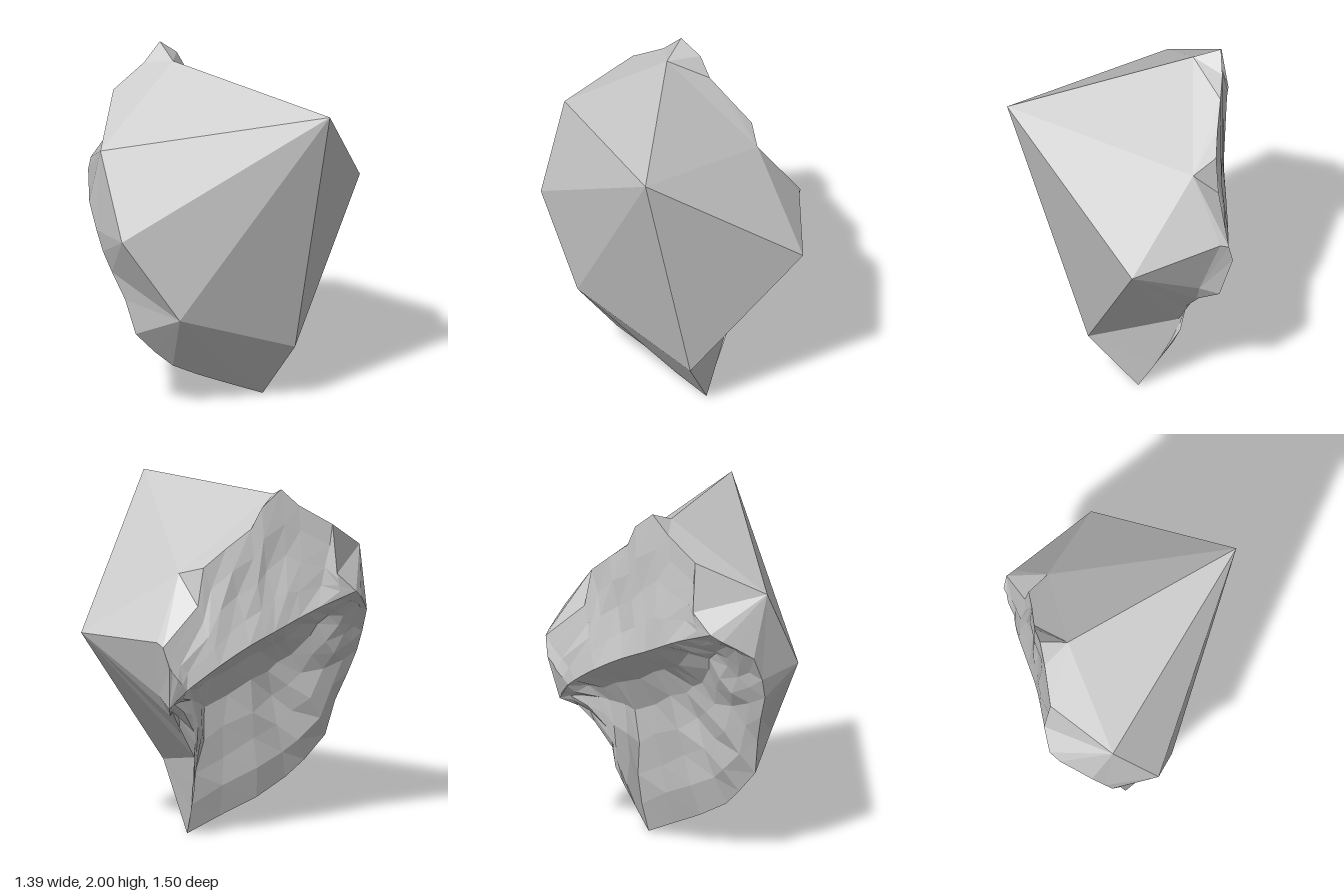
import * as THREE from 'three';

const V = (x, y, z) => new THREE.Vector3(x, y, z);
const CORE = V(-0.1, 1.1, 0); // interior point, used to turn faces outward

// Corners of the smooth cleaved side
const apex = V(0.69, 1.88, 0.06), brow = V(-0.44, 1.58, 0.65), chest = V(-0.21, 1.13, 0.75);
const knee = V(0.01, 0.65, 0.52), heel = V(0.29, 0.36, -0.135), foot = V(0.02, 0, -0.19);
const back = V(0.25, 1.17, -0.75), crown = V(-0.39, 1.94, 0.08), notch = V(-0.21, 1.54, -0.44);
const backLip = V(-0.29, 1.2, -0.66), backStep = V(-0.2, 0.87, -0.57);

// Broken rim: the bulge and the low corner split it into an upper and a lower run
const bulge = V(-0.7, 1.4, 0.41), corner = V(-0.31, 0.82, -0.59);
const upper = [
  V(-0.67, 1.51, 0.3), V(-0.63, 1.78, 0.3), V(-0.56, 1.9, 0.12), V(-0.53, 2, 0.02),
  V(-0.5, 1.91, -0.09), V(-0.47, 1.79, -0.145), V(-0.41, 1.69, -0.27), V(-0.36, 1.59, -0.39),
  V(-0.36, 1.38, -0.43), V(-0.34, 1.18, -0.66), V(-0.37, 1.07, -0.64),
];
const lowerFront = [
  V(-0.67, 1.355, 0.47), V(-0.61, 1.3, 0.54), V(-0.55, 1.24, 0.61), V(-0.48, 1.1, 0.635),
  V(-0.435, 0.985, 0.635), V(-0.4, 0.86, 0.6), V(-0.34, 0.7, 0.56), V(-0.29, 0.5, 0.53),
  V(-0.245, 0.37, 0.42), V(-0.19, 0.275, 0.33), V(-0.145, 0.18, 0.165), V(-0.05, 0.085, -0.02),
];
const lowerBack = [
  V(-0.065, 0.15, -0.23), V(-0.15, 0.31, -0.275), V(-0.175, 0.48, -0.3),
  V(-0.175, 0.63, -0.4), V(-0.21, 0.75, -0.5),
];

// Blunt ridge across the broken side
const ridge = new THREE.CatmullRomCurve3([
  bulge, V(-0.61, 1.31, 0.18), V(-0.54, 1.22, 0), V(-0.485, 1.13, -0.2),
  V(-0.42, 1, -0.42), V(-0.36, 0.9, -0.54), corner,
]);

let seed = 7;
const rand = () => ((seed = (seed * 16807) % 2147483647) / 2147483647) - 0.5;

function addTri(out, a, b, c) {
  const n = b.clone().sub(a).cross(c.clone().sub(a));
  if (n.length() < 1e-7) return;
  const mid = a.clone().add(b).add(c).divideScalar(3).sub(CORE);
  const order = n.dot(mid) > 0 ? [a, b, c] : [a, c, b];
  order.forEach((p) => out.push(p.x, p.y, p.z));
}

function fan(out, hub, pts) {
  for (let i = 0; i < pts.length - 1; i++) addTri(out, hub, pts[i], pts[i + 1]);
}

// Chipped surface between a rim and the ridge, hollowed by push just under the ridge
function chipped(out, rim, push, rows) {
  const lengths = [0];
  for (let i = 1; i < rim.length; i++) lengths.push(lengths[i - 1] + rim[i].distanceTo(rim[i - 1]));
  const total = lengths[lengths.length - 1];
  const grid = rim.map((p, i) => {
    const t = lengths[i] / total, q = ridge.getPointAt(t);
    const size = Math.min(1, p.distanceTo(q) * 1.5);
    return Array.from({ length: rows + 1 }, (_, j) => {
      const s = j / rows, pt = p.clone().lerp(q, s);
      const bow = Math.sin(Math.PI * s ** 2) * Math.sin(Math.PI * t ** 1.3) * size;
      if (j > 0 && j < rows) pt.addScaledVector(push, bow).add(V(rand(), rand(), rand()).multiplyScalar(0.035 * size));
      return pt;
    });
  });
  for (let i = 0; i < rim.length - 1; i++) {
    for (let j = 0; j < rows; j++) {
      const a = grid[i][j], b = grid[i + 1][j], c = grid[i + 1][j + 1], d = grid[i][j + 1];
      addTri(out, a, b, c);
      addTri(out, a, c, d);
    }
  }
}

function makeMesh(name, positions) {
  const geo = new THREE.BufferGeometry();
  geo.setAttribute('position', new THREE.Float32BufferAttribute(positions, 3));
  geo.computeVertexNormals();
  const mesh = new THREE.Mesh(geo, new THREE.MeshStandardMaterial({
    color: 0xcccccc, flatShading: true, side: THREE.DoubleSide,
  }));
  mesh.name = name;
  return mesh;
}

export function createModel() {
  const group = new THREE.Group();
  group.name = 'rockShard';

  // Large flat facets, and the narrow facets running out to the rim
  const flat = [];
  fan(flat, apex, [back, notch, crown, brow, chest, knee, heel, back]);
  fan(flat, crown, [brow, ...upper.slice(1, 6), notch]);
  fan(flat, notch, [...upper.slice(5, 10), backLip]);
  fan(flat, brow, [upper[1], upper[0], bulge, ...lowerFront.slice(0, 4), chest]);
  fan(flat, chest, [...lowerFront.slice(3, 6), knee]);
  fan(flat, knee, [...lowerFront.slice(5), foot, heel]);
  fan(flat, heel, [foot, ...lowerBack.slice(0, 3), back]);
  fan(flat, back, [notch, backLip, backStep, ...lowerBack.slice(2).reverse()]);
  fan(flat, backStep, [backLip, upper[9], upper[10], corner, lowerBack[4]]);
  group.add(makeMesh('cleavedFacets', flat));

  // Rough broken side above and below the ridge
  const top = [], bottom = [];
  chipped(top, [bulge, ...upper, corner], V(0.01, 0, 0.01), 4);
  chipped(bottom, [bulge, ...lowerFront, foot, ...lowerBack, corner], V(0.14, 0.04, 0.07), 6);
  group.add(makeMesh('upperBreak', top), makeMesh('lowerBreak', bottom));
  return group;
}
